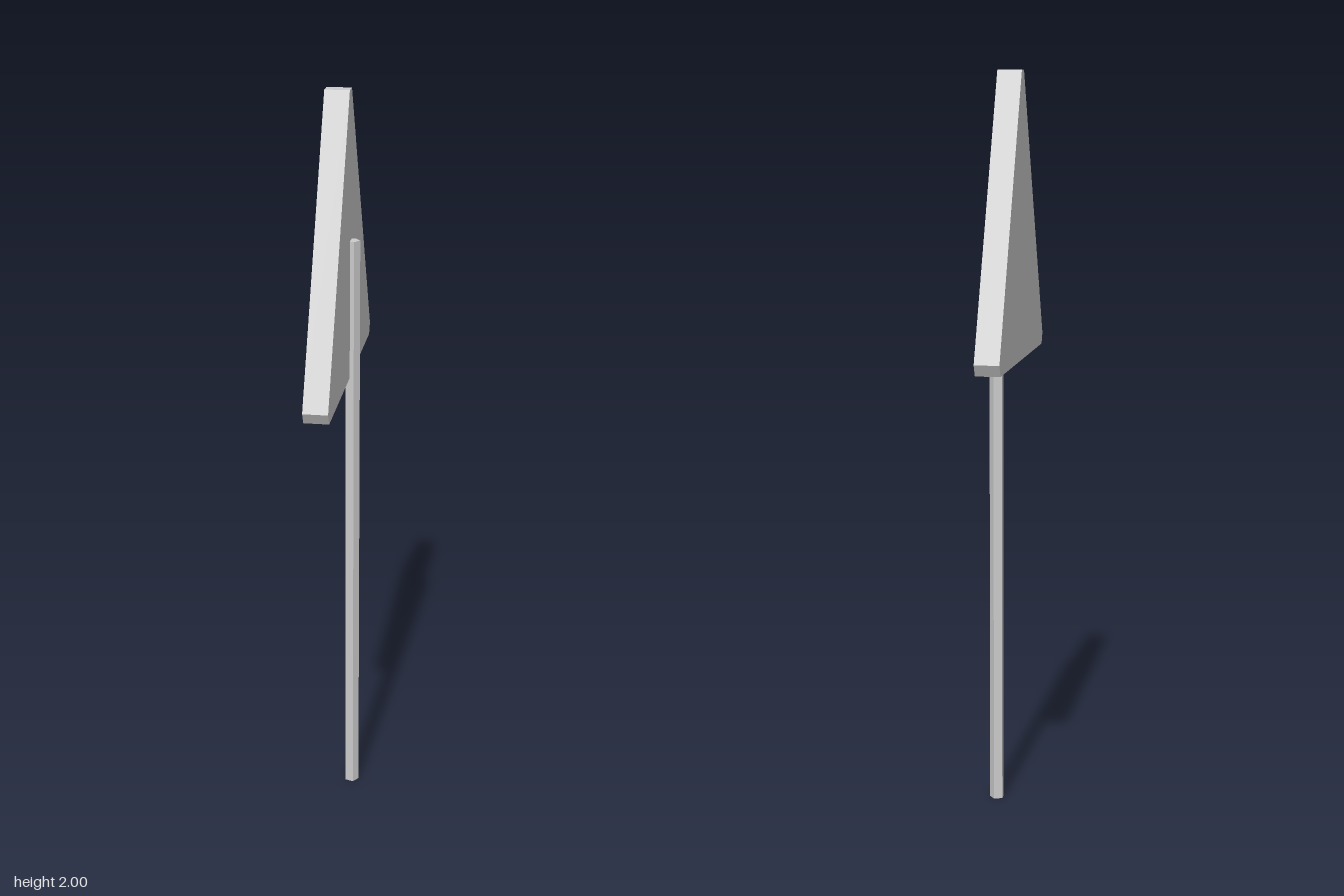
import * as THREE from 'three';

export function createModel() {
  const group = new THREE.Group();
  const material = new THREE.MeshStandardMaterial({ color: 0xcccccc, flatShading: true });

  // Triangular plate with clipped corners, facing sideways along x
  const half = [[0.37, 1.238], [0.387, 1.268], [0.019, 2]];
  const mirrored = half.map(([z, y]) => [-z, y]).reverse();
  const outline = new THREE.Shape([...half, ...mirrored].map(([z, y]) => new THREE.Vector2(z, y)));
  const plateGeometry = new THREE.ExtrudeGeometry(outline, { depth: 0.065, bevelEnabled: false });
  plateGeometry.rotateY(Math.PI / 2).translate(-0.046, 0, 0);
  const plate = new THREE.Mesh(plateGeometry, material);
  plate.name = 'signPlate';
  group.add(plate);

  // Five-sided post with one edge pointing away from the plate
  const height = 1.61;
  const postGeometry = new THREE.CylinderGeometry(0.02, 0.02, height, 5, 1, false, Math.PI / 2);
  const post = new THREE.Mesh(postGeometry, material);
  post.name = 'post';
  post.position.set(0.024, height / 2, 0);
  group.add(post);

  return group;
}
